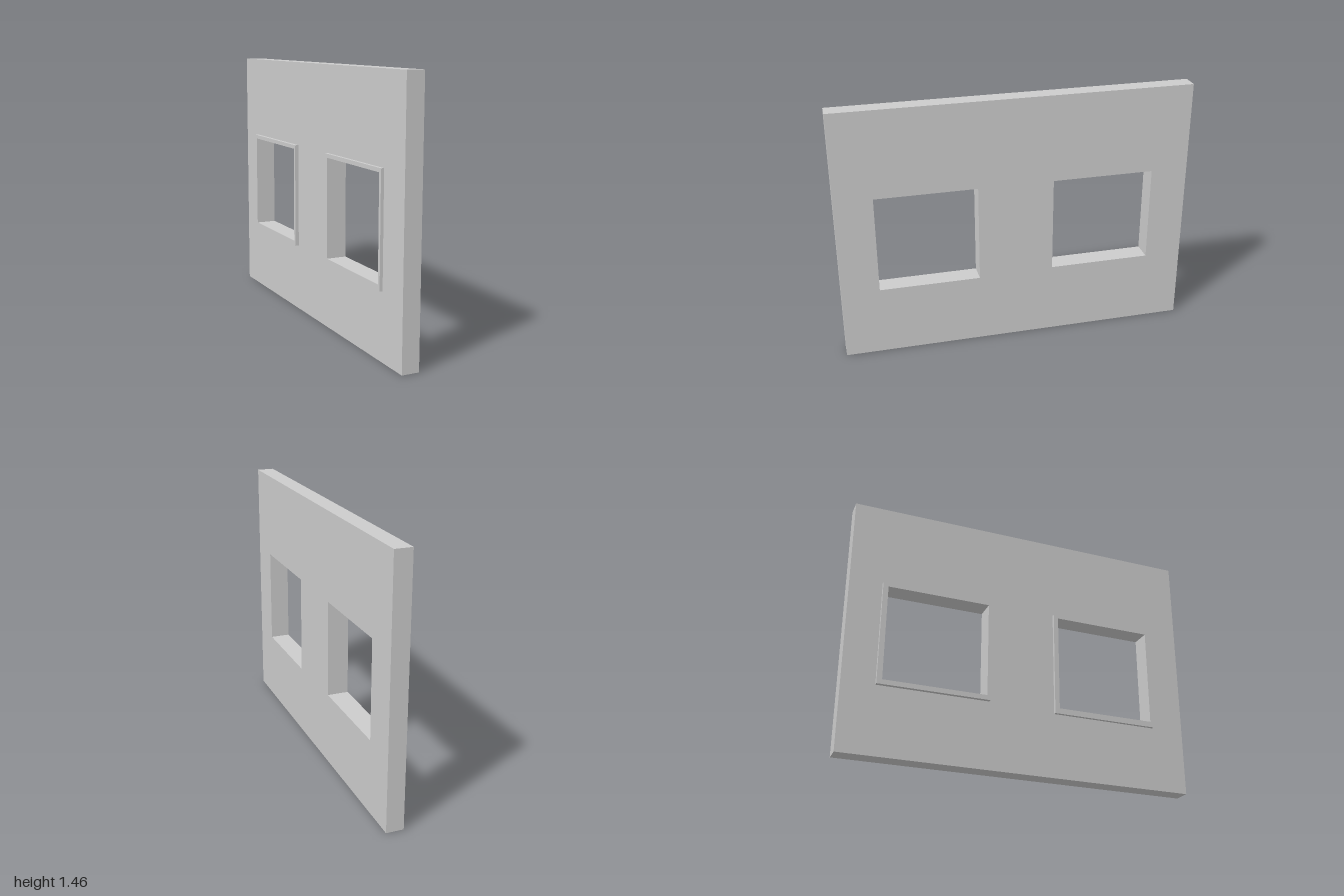
import * as THREE from 'three';

const WALL_FRONT = 0.057, WALL_BACK = -0.04;

// Openings and their trims as [zMin, yMin, zMax, yMax]
const windows = [
  { side: 'Front', hole: [0.217, 0.4, 0.787, 0.958], trim: [0.19, 0.368, 0.805, 0.98], trimBack: -0.057 },
  { side: 'Rear', hole: [-0.789, 0.412, -0.211, 0.958], trim: [-0.818, 0.385, -0.193, 0.98], trimBack: -0.061 },
];

function trace(path, [z0, y0, z1, y1]) {
  path.moveTo(z0, y0);
  path.lineTo(z1, y0);
  path.lineTo(z1, y1);
  path.lineTo(z0, y1);
  path.closePath();
  return path;
}

// Rectangular slab with rectangular holes, spanning xBack..xFront
function panel(name, outline, holes, xFront, xBack, material) {
  const shape = trace(new THREE.Shape(), outline);
  shape.holes = holes.map((h) => trace(new THREE.Path(), h));
  const geometry = new THREE.ExtrudeGeometry(shape, { depth: xFront - xBack, bevelEnabled: false });
  geometry.rotateY(-Math.PI / 2);
  geometry.translate(xFront, 0, 0);
  const mesh = new THREE.Mesh(geometry, material);
  mesh.name = name;
  return mesh;
}

export function createModel() {
  const group = new THREE.Group();
  group.name = 'wallWithWindows';
  const material = new THREE.MeshStandardMaterial({ color: 0xcccccc });

  // Wall with two window openings
  group.add(panel('wall', [-1, 0, 1, 1.455], windows.map((w) => w.hole), WALL_FRONT, WALL_BACK, material));

  // Thin raised trim around each opening, on one face only
  for (const w of windows) {
    group.add(panel(`windowTrim${w.side}`, w.trim, [w.hole], WALL_BACK, w.trimBack, material));
  }
  return group;
}
